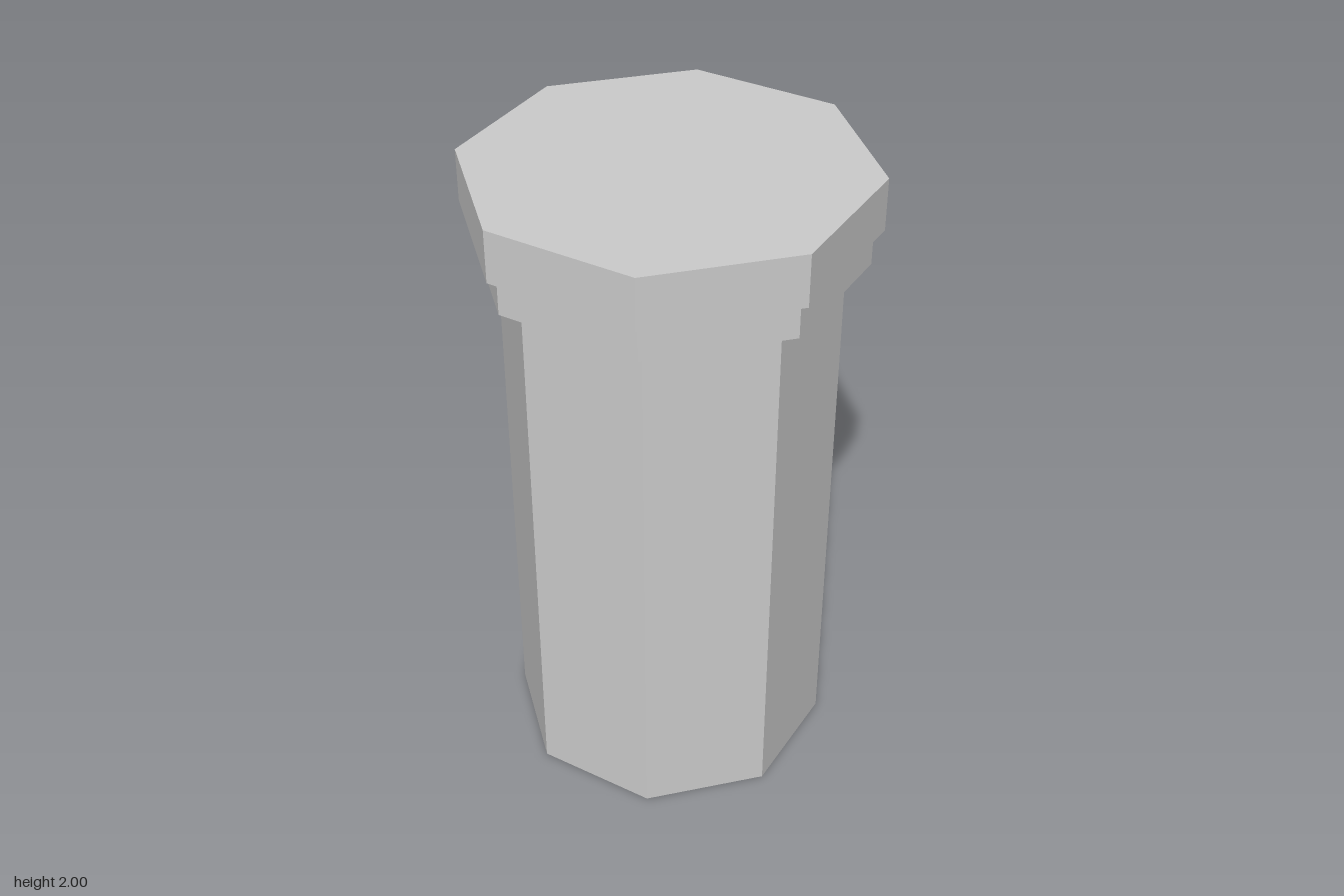
import * as THREE from 'three';

const SIDES = 8;

export function createModel() {
  const group = new THREE.Group();
  const material = new THREE.MeshStandardMaterial({ color: 0xcccccc, flatShading: true });

  // Upright octagonal prism between two heights, corners on the x and z axes
  function addPrism(name, radius, bottom, top) {
    const height = top - bottom;
    const mesh = new THREE.Mesh(new THREE.CylinderGeometry(radius, radius, height, SIDES), material);
    mesh.name = name;
    mesh.position.y = bottom + height / 2;
    group.add(mesh);
  }

  addPrism('shaft', 0.5, 0, 1.73);
  addPrism('collar', 0.57, 1.73, 1.84);
  addPrism('cap', 0.6, 1.84, 2);

  return group;
}
